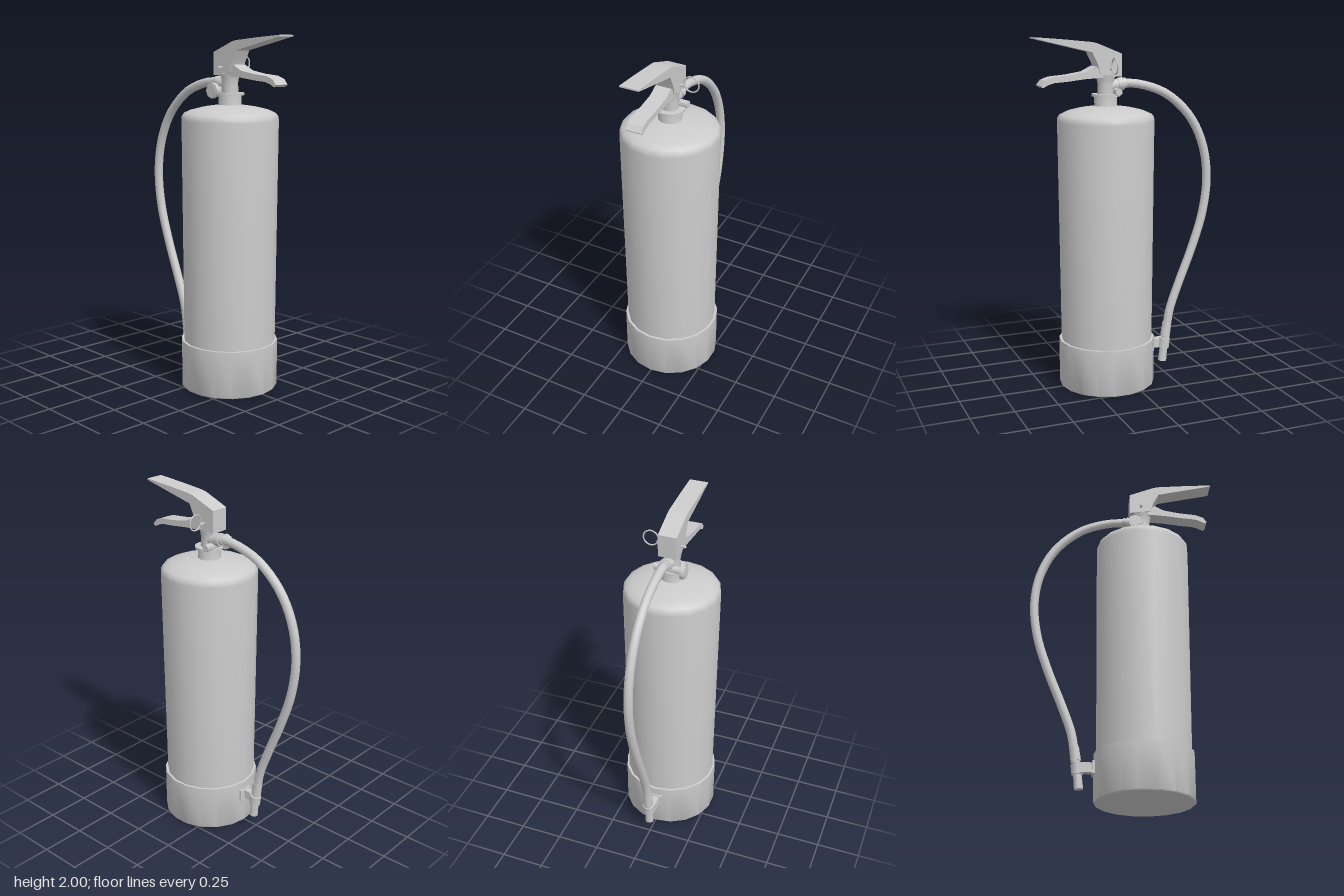
import * as THREE from 'three';
import { toCreasedNormals } from 'three/addons/utils/BufferGeometryUtils.js';

const AXIS = 0.118; // x of the cylinder's centre line

export function createModel() {
  const model = new THREE.Group();
  model.name = 'fireExtinguisher';
  const mat = new THREE.MeshStandardMaterial({ color: 0xcccccc });

  const add = (name, geo, x = 0, y = 0, z = 0, crease = 0.7) => {
    const mesh = new THREE.Mesh(crease ? toCreasedNormals(geo, crease) : geo, mat);
    mesh.name = name;
    mesh.position.set(x, y, z);
    model.add(mesh);
    return mesh;
  };
  // Turned part: profile of [radius, y], bottom to top
  const turned = (name, profile, sides, x = AXIS, y = 0, z = 0) => {
    const pts = profile.map(([r, h]) => new THREE.Vector2(r, h));
    const mesh = add(name, new THREE.LatheGeometry(pts, sides), x, y, z);
    mesh.rotation.y = Math.PI / sides;
    return mesh;
  };
  // Side outline in x, y extruded evenly about z = 0
  const plate = (name, outline, width, z = 0) => {
    const shape = new THREE.Shape(outline.map(([x, y]) => new THREE.Vector2(x, y)));
    const geo = new THREE.ExtrudeGeometry(shape, { depth: width, bevelEnabled: false });
    return add(name, geo.translate(0, 0, -width / 2), 0, 0, z, 0.45);
  };
  // Cylinder between two points
  const rod = (name, a, b, ra, rb = ra, sides = 12) => {
    const from = new THREE.Vector3(...a), to = new THREE.Vector3(...b);
    const dir = to.clone().sub(from);
    const mid = from.clone().add(to).multiplyScalar(0.5);
    const mesh = add(name, new THREE.CylinderGeometry(rb, ra, dir.length(), sides), mid.x, mid.y, mid.z, 0.9);
    mesh.quaternion.setFromUnitVectors(new THREE.Vector3(0, 1, 0), dir.normalize());
    return mesh;
  };

  // Tank with domed shoulder, and the boot around its foot
  turned('tank', [[0, 0.02], [0.262, 0.02], [0.263, 0.27], [0.273, 1.535], [0.271, 1.555],
    [0.258, 1.573], [0.22, 1.59], [0.15, 1.607], [0.06, 1.62], [0, 1.62]], 18);
  turned('baseBoot', [[0, 0], [0.272, 0], [0.277, 0.006], [0.277, 0.272], [0.262, 0.272]], 18);

  // Neck and valve body
  turned('neck', [[0.068, 1.605], [0.064, 1.625], [0.064, 1.672], [0, 1.672]], 18);
  turned('neckFlange', [[0, 1.672], [0.08, 1.672], [0.08, 1.686], [0, 1.686]], 18);
  turned('valveBody', [[0.048, 1.68], [0.046, 1.74], [0.05, 1.765], [0.056, 1.79], [0, 1.79]], 16);

  // Carrying handle and squeeze lever
  plate('upperHandle', [[0.04, 1.78], [0.167, 1.797], [0.182, 1.85], [0.215, 1.917], [0.537, 1.992],
    [0.537, 2.0], [0.37, 1.987], [0.215, 1.972], [0.185, 1.965], [0.04, 1.907]], 0.106);
  plate('squeezeLever', [[0.06, 1.782], [0.25, 1.772], [0.36, 1.76], [0.43, 1.755], [0.465, 1.745],
    [0.495, 1.73], [0.508, 1.742], [0.485, 1.77], [0.44, 1.786], [0.34, 1.795], [0.25, 1.81],
    [0.19, 1.84], [0.165, 1.82], [0.06, 1.8]], 0.09);

  // Safety pin with its pull ring
  rod('safetyPin', [0.108, 1.825, 0.082], [0.108, 1.825, -0.085], 0.007, 0.007, 8);
  const ring = add('pullRing', new THREE.TorusGeometry(0.043, 0.0045, 6, 24), 0.108, 1.843, -0.119, 0);
  ring.rotation.y = Math.PI / 2;

  // Cross bolt with a hexagonal head and raised gauge face
  rod('crossBolt', [0.07, 1.698, -0.084], [0.07, 1.698, 0.08], 0.02);
  rod('boltHead', [0.07, 1.698, 0.072], [0.07, 1.698, 0.096], 0.044, 0.044, 8);
  rod('boltFace', [0.07, 1.698, 0.094], [0.07, 1.698, 0.099], 0.033, 0.033, 16);

  // Hose, its coupling at the valve and its collar at the foot
  const path = [[0.03, 1.745], [-0.09, 1.733], [-0.25, 1.675], [-0.4, 1.54], [-0.485, 1.37], [-0.514, 1.18],
    [-0.49, 0.97], [-0.42, 0.75], [-0.34, 0.55], [-0.28, 0.38], [-0.257, 0.22]];
  const curve = new THREE.CatmullRomCurve3(path.map(([x, y]) => new THREE.Vector3(x, y, -0.008)));
  add('hose', new THREE.TubeGeometry(curve, 40, 0.0255, 10, false), 0, 0, 0, 0);
  rod('hoseCoupling', [0.1, 1.725, -0.005], [0.0, 1.745, -0.008], 0.036, 0.03);
  rod('couplingCollar', [0.05, 1.735, -0.007], [0.02, 1.741, -0.008], 0.037);
  rod('hoseCollar', [-0.265, 0.31, -0.008], [-0.254, 0.23, -0.008], 0.027, 0.029);
  rod('nozzle', [-0.253, 0.24, -0.008], [-0.236, 0.075, -0.008], 0.021, 0.025);

  // Clip holding the nozzle to the boot
  rod('nozzleClip', [-0.25, 0.215, -0.008], [-0.243, 0.155, -0.008], 0.033);
  add('clipArm', new THREE.BoxGeometry(0.095, 0.055, 0.04), -0.195, 0.188, 0.008);
  add('clipPlate', new THREE.BoxGeometry(0.016, 0.07, 0.085), -0.158, 0.188, 0);

  return model;
}
